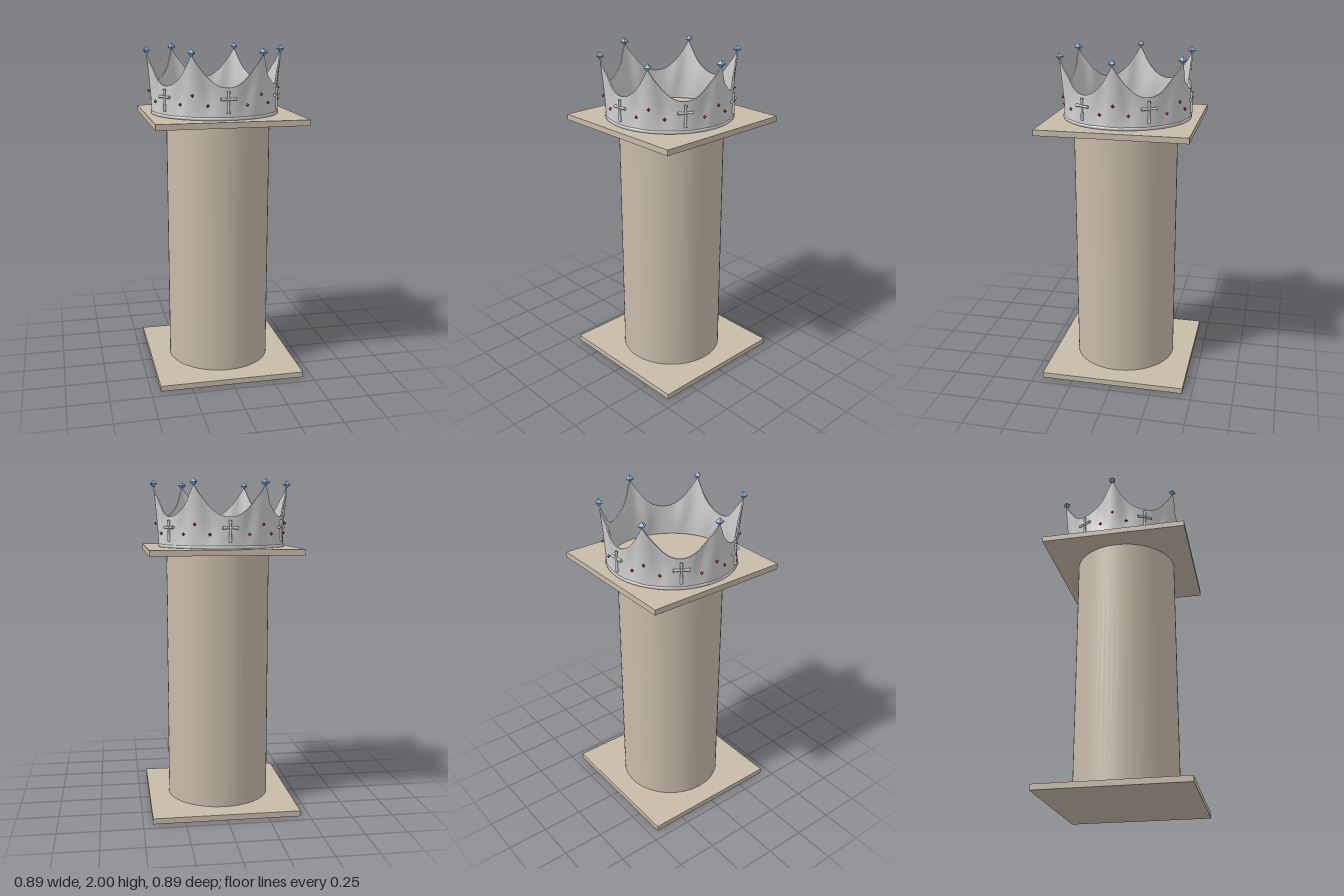
import * as THREE from 'three';
import { mergeVertices, toCreasedNormals } from 'three/addons/utils/BufferGeometryUtils.js';

const stone = new THREE.MeshStandardMaterial({ color: 0xc8bba9 });
const metal = new THREE.MeshStandardMaterial({ color: 0xcccccc, side: THREE.DoubleSide });
const blue = new THREE.MeshStandardMaterial({ color: 0x8ab0d8, flatShading: true });
const red = new THREE.MeshStandardMaterial({ color: 0xcc2a2a, flatShading: true });

const RAD = Math.PI / 180;
const BASE = 1.61, VALLEY = 1.785, TIP = 1.965, RADIUS = 0.375;

function add(parent, name, geometry, material, x = 0, y = 0, z = 0) {
  const mesh = new THREE.Mesh(geometry, material);
  mesh.name = name;
  mesh.position.set(x, y, z);
  parent.add(mesh);
  return mesh;
}

// Holder turned so that its +z points outward at the given angle (0 = +x)
function spoke(parent, name, degrees) {
  const g = new THREE.Group();
  g.name = name;
  g.rotation.y = (90 - degrees) * RAD;
  parent.add(g);
  return g;
}

// Wavy crown wall: a lathe of (side, height fraction) reshaped by angle
function crownWall() {
  const rows = 14, profile = [];
  for (let i = 0; i <= rows; i++) profile.push(new THREE.Vector2(2, i / rows));
  for (let i = rows; i >= 0; i--) profile.push(new THREE.Vector2(1, i / rows));
  profile.push(profile[0].clone());
  let geo = new THREE.LatheGeometry(profile, 144);
  const p = geo.attributes.position;
  for (let i = 0; i < p.count; i++) {
    const angle = Math.atan2(p.getZ(i), p.getX(i));
    const outer = Math.hypot(p.getX(i), p.getZ(i)) > 1.5;
    const v = p.getY(i);
    const deg = angle / RAD + 360;
    const a = Math.abs(deg - Math.round(deg / 60) * 60);   // degrees from the nearest point
    const top = VALLEY + (TIP - VALLEY) * Math.pow(Math.max(0, 1 - a / 30), 2.2);
    const ridge = Math.exp(-((a / 7) ** 2));
    const fold = Math.exp(-(((a - 13) / 6) ** 2)) * Math.sin(Math.PI * v);
    const thick = 0.016 - 0.008 * v;
    const r = RADIUS + ridge * 0.033 * v ** 1.3 - 0.011 * fold + (outer ? 0.5 : -0.5) * thick;
    p.setXYZ(i, r * Math.cos(angle), BASE + (top - BASE) * v, r * Math.sin(angle));
  }
  geo.deleteAttribute('uv');
  geo.deleteAttribute('normal');
  geo = mergeVertices(geo, 1e-5);
  return toCreasedNormals(geo, 50 * RAD);
}

// Cross with slightly flared round arms
function cross(parent) {
  const arm = (len) => new THREE.CylinderGeometry(0.009, 0.006, len, 10);
  add(parent, 'crossFoot', arm(0.08), metal, 0, 1.68, 0.386).rotation.z = Math.PI;
  add(parent, 'crossHead', arm(0.045), metal, 0, 1.743, 0.386);
  for (const s of [-1, 1])
    add(parent, 'crossArm', arm(0.044), metal, s * 0.023, 1.722, 0.386).rotation.z = -s * Math.PI / 2;
  add(parent, 'crossCentre', new THREE.SphereGeometry(0.009, 10, 8), metal, 0, 1.722, 0.386);
}

export function createModel() {
  const model = new THREE.Group();
  model.name = 'crownOnPedestal';

  // Pedestal
  const plate = new THREE.BoxGeometry(0.886, 0.034, 0.886);
  add(model, 'basePlate', plate, stone, 0, 0.017, 0);
  add(model, 'topPlate', plate, stone, 0, 1.585, 0);
  add(model, 'column', new THREE.CylinderGeometry(0.315, 0.315, 1.536, 64), stone, 0, 0.801, 0);

  // Crown, standing slightly off centre
  const crown = new THREE.Group();
  crown.name = 'crown';
  crown.position.set(-0.02, 0, -0.005);
  model.add(crown);
  add(crown, 'crownWall', crownWall(), metal);
  const rim = new THREE.TorusGeometry(0.377, 0.011, 10, 96);
  add(crown, 'baseRim', rim, metal, 0, 1.611, 0).rotation.x = Math.PI / 2;

  // Gems on and beside each point, crosses in between
  const tipGem = new THREE.OctahedronGeometry(0.026);
  const smallGem = new THREE.OctahedronGeometry(0.0105);
  for (let k = 0; k < 6; k++) {
    const point = spoke(crown, 'pointJewels', k * 60);
    const gem = add(point, 'tipGem', tipGem, blue, 0, 1.977, 0.41);
    gem.rotation.y = 55 * RAD;
    gem.scale.y = 0.88;
    add(point, 'ridgeGem', smallGem, red, 0, 1.742, 0.399);
    for (const s of [-1, 1])
      add(spoke(crown, 'sideJewel', k * 60 + s * 12.5), 'sideGem', smallGem, red, 0, 1.685, 0.381);
    cross(spoke(crown, 'cross', k * 60 + 30));
  }
  return model;
}
